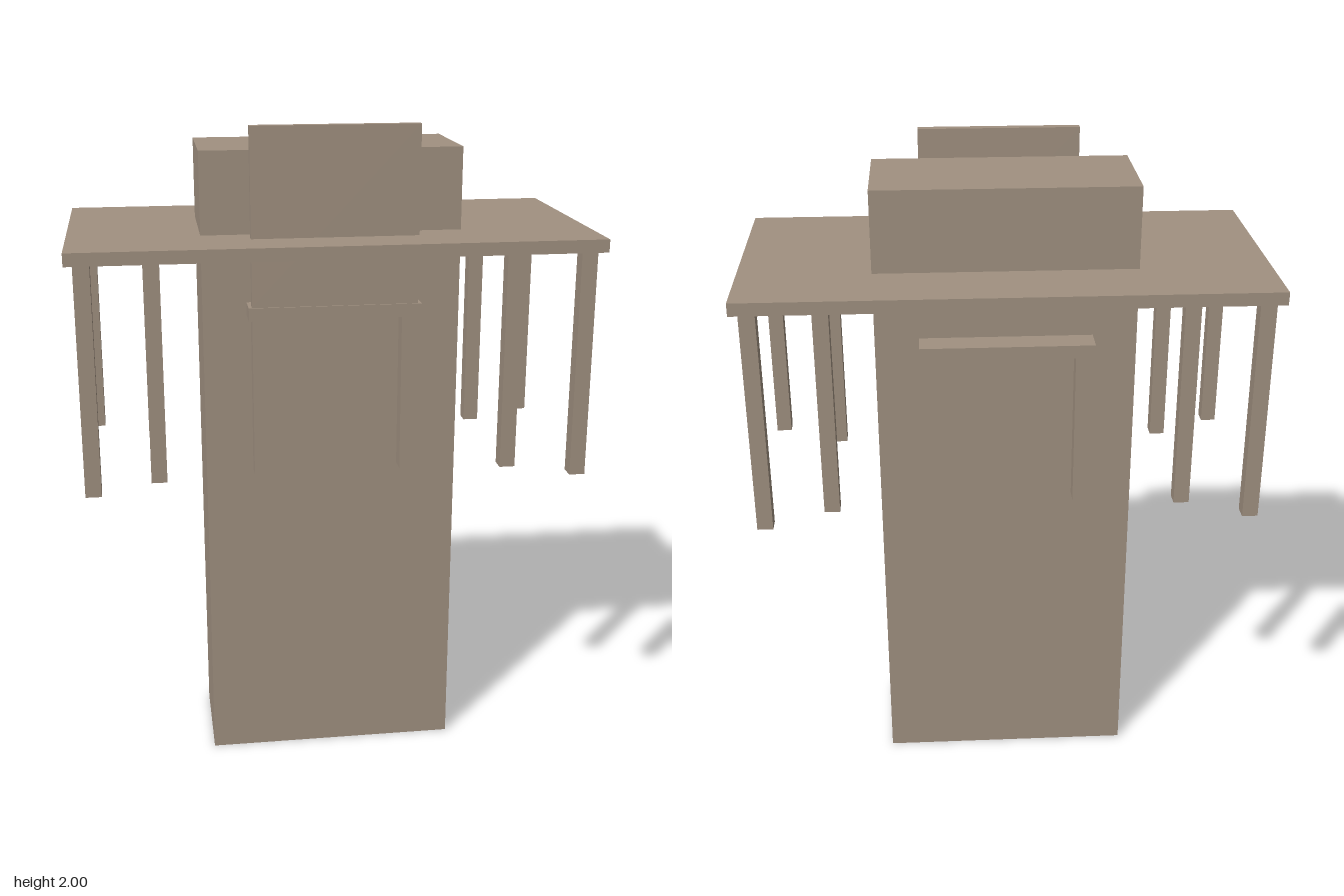
import * as THREE from 'three';

export function createModel() {
  const model = new THREE.Group();
  model.name = 'tableAndChair';
  const wood = new THREE.MeshStandardMaterial({ color: 0xa09080 });
  wood.name = 'taupe';

  // Box given by its centre in x and z, and its bottom and top heights
  function box(parent, name, width, depth, bottom, top, x = 0, z = 0) {
    const mesh = new THREE.Mesh(new THREE.BoxGeometry(width, top - bottom, depth), wood);
    mesh.name = name;
    mesh.position.set(x, (bottom + top) / 2, z);
    parent.add(mesh);
  }

  // Four legs mirrored about both axes
  function legs(parent, name, width, depth, bottom, top, x, z) {
    for (const sx of [-1, 1])
      for (const sz of [-1, 1]) box(parent, name, width, depth, bottom, top, sx * x, sz * z);
  }

  // Tall central block
  box(model, 'centralBlock', 0.77, 0.336, 0, 1.925);

  // Table with outer and inner sets of legs
  const table = new THREE.Group();
  table.name = 'table';
  box(table, 'tableTop', 1.54, 0.77, 1.645, 1.683);
  legs(table, 'outerTableLeg', 0.047, 0.047, 0.963, 1.645, 0.723, 0.335);
  legs(table, 'innerTableLeg', 0.047, 0.047, 0.963, 1.645, 0.531, 0.24);
  model.add(table);

  // Chair passing through the block, with its back rising through the table
  const chair = new THREE.Group();
  chair.name = 'chair';
  box(chair, 'seat', 0.51, 0.5, 1.443, 1.482);
  box(chair, 'backrest', 0.49, 0.027, 1.482, 2, 0, 0.232);
  legs(chair, 'chairLeg', 0.043, 0.053, 0.963, 1.443, 0.222, 0.204);
  model.add(chair);

  return model;
}
